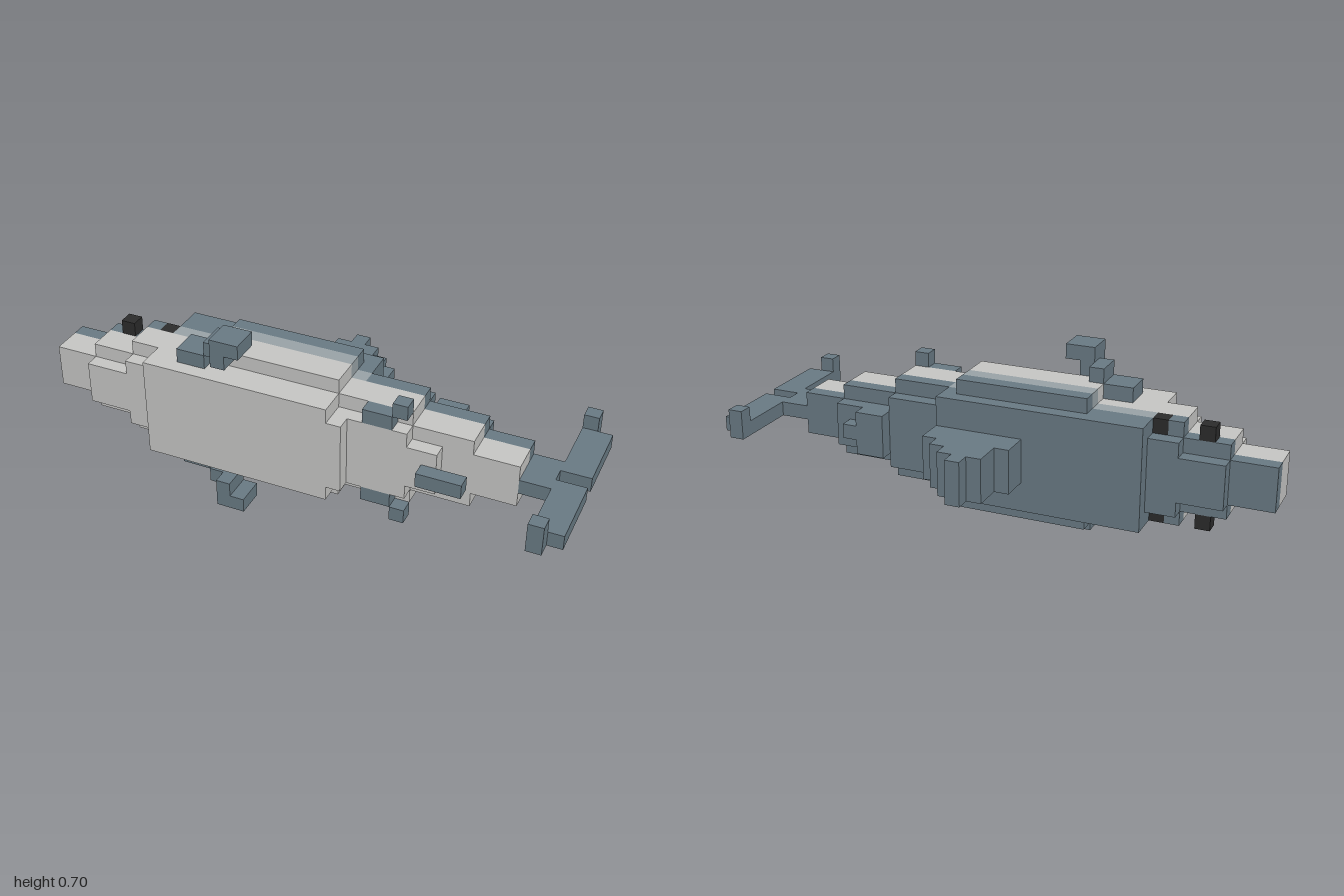
import * as THREE from 'three';

const U = 2 / 37; // one block; grid is 37 x 13 x 15

const mat = (name, color) => {
  const m = new THREE.MeshStandardMaterial({ color });
  m.name = name;
  return m;
};

export function createModel() {
  const model = new THREE.Group();
  model.name = 'blockShark';
  const slate = mat('slate', 0x6a7b85);
  const pale = mat('paleGrey', 0xc8c8c6);
  const blend = mat('blendGrey', 0x9aa4a8);
  const black = mat('eyeBlack', 0x2c2c2c);

  // Box from grid bounds, added to a named part
  const block = (part, material, x0, x1, y0, y1, z0, z1) => {
    const mesh = new THREE.Mesh(new THREE.BoxGeometry((x1 - x0) * U, (y1 - y0) * U, (z1 - z0) * U), material);
    mesh.position.set(((x0 + x1) / 2 - 18.5) * U, ((y0 + y1) / 2) * U, ((z0 + z1) / 2 - 7.5) * U);
    mesh.name = part.name + 'Block';
    part.add(mesh);
  };
  const group = (name) => {
    const g = new THREE.Group();
    g.name = name;
    model.add(g);
    return g;
  };
  // The same block on both flanks
  const pair = (part, material, x0, x1, y0, y1, z0, z1) => {
    block(part, material, x0, x1, y0, y1, z0, z1);
    block(part, material, x0, x1, 13 - y1, 13 - y0, z0, z1);
  };
  // One slab of the body: rows of [x0, x1, lowest y], symmetric about the middle
  const slab = (part, material, z0, z1, rows) =>
    rows.forEach(([x0, x1, y]) => block(part, material, x0, x1, y, 13 - y, z0, z1));

  // Back, in stepped slabs
  const back = group('back');
  slab(back, slate, 5, 6, [[8, 22, 3]]);
  slab(back, slate, 6, 7, [[3, 6, 5], [6, 8, 4], [8, 12, 3], [12, 21, 2], [21, 22, 3], [22, 26, 4], [26, 30, 5]]);
  slab(back, slate, 7, 8, [[0, 3, 5], [3, 6, 4], [6, 7, 3], [7, 8, 4], [22, 26, 3], [26, 30, 4], [30, 33, 5]]);

  // Blended band along the flank
  slab(group('flankBand'), blend, 7, 8, [[8, 12, 3], [12, 21, 2], [21, 22, 3]]);

  // Belly, in stepped slabs
  const belly = group('belly');
  slab(belly, pale, 8, 10, [[0, 3, 5], [3, 6, 4], [6, 12, 3], [12, 21, 2], [21, 26, 3], [26, 30, 4], [30, 33, 5]]);
  slab(belly, pale, 10, 11, [[3, 6, 5], [6, 8, 4], [8, 21, 3], [21, 26, 4], [26, 28, 5]]);
  slab(belly, pale, 11, 12, [[8, 21, 3], [21, 22, 4]]);

  // Eyes: one raised and one flush on each flank
  const eyes = group('eyes');
  pair(eyes, black, 4, 5, 9, 10, 7, 8);
  pair(eyes, black, 7, 8, 9, 10, 7, 8);

  // Dorsal fins
  const dorsal = group('dorsalFin');
  slab(dorsal, slate, 3, 5, [[16, 22, 5]]);
  slab(dorsal, slate, 2, 3, [[17, 21, 5]]);
  slab(dorsal, slate, 1, 2, [[17, 20, 5]]);
  slab(dorsal, slate, 0, 1, [[18, 19, 5]]);
  slab(group('rearDorsalFin'), slate, 5, 6, [[26, 28, 5], [28, 29, 6]]);

  // Pectoral fins
  const pectoral = group('pectoralFins');
  pair(pectoral, slate, 10, 12, 10, 11, 9, 11);
  pair(pectoral, slate, 12, 13, 11, 12, 9, 11);
  pair(pectoral, slate, 13, 14, 11, 12, 10, 12);
  pair(pectoral, slate, 13, 15, 12, 13, 10, 12);

  // Pelvic fins
  const pelvic = group('pelvicFins');
  pair(pelvic, slate, 23, 25, 9, 10, 10, 11);
  pair(pelvic, slate, 25, 26, 10, 11, 10, 11);

  // Anal fin
  block(group('analFin'), slate, 27, 30, 6, 7, 11, 12);

  // Tail fin with bent tips
  const tail = group('tailFin');
  block(tail, slate, 33, 35, 6, 7, 7, 10);
  block(tail, slate, 35, 37, 6, 7, 3, 8);
  block(tail, slate, 35, 37, 6, 7, 9, 14);
  block(tail, slate, 35, 36, 6, 8, 2, 3);
  block(tail, slate, 35, 36, 6, 8, 14, 15);

  return model;
}
